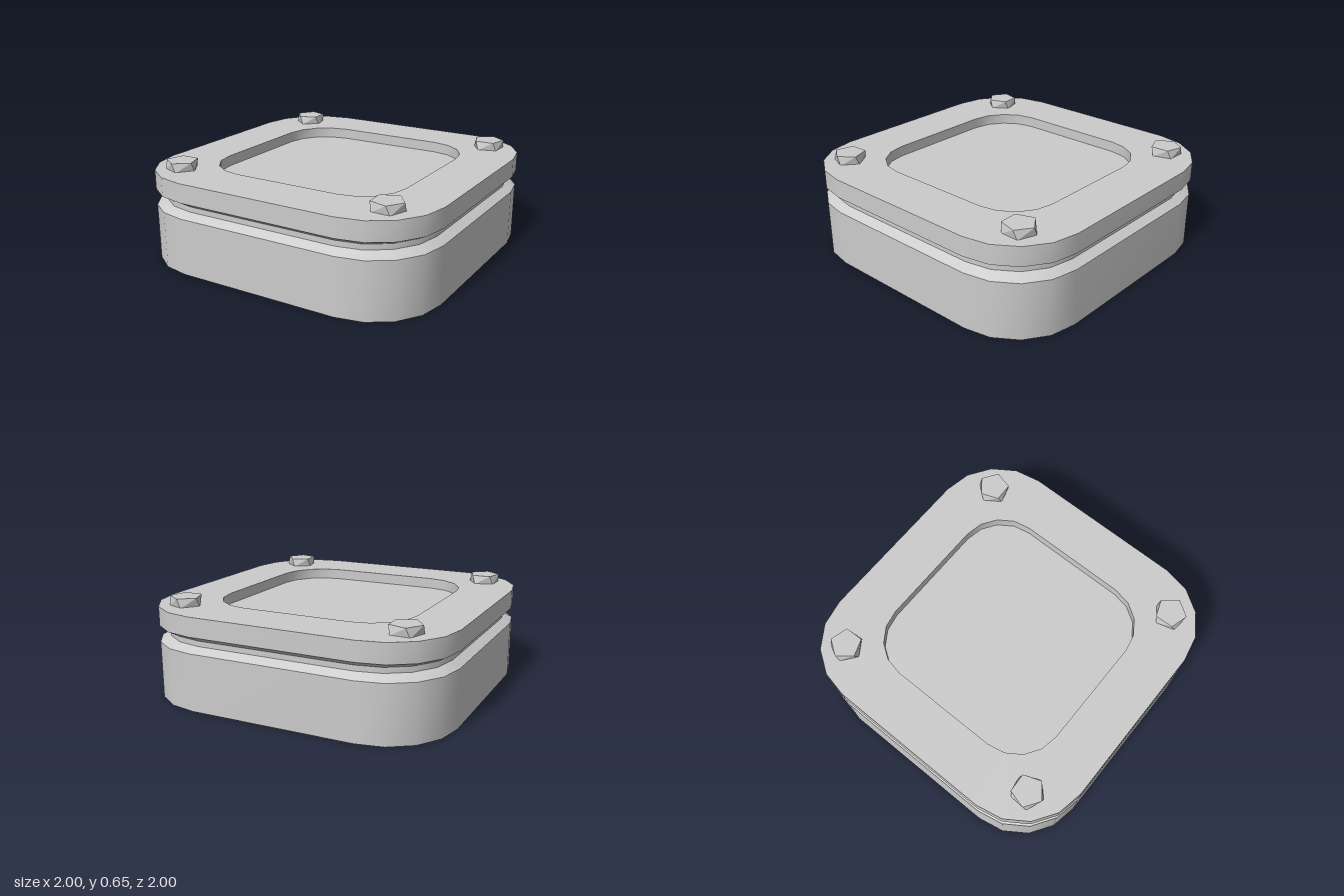
import * as THREE from 'three';

const material = new THREE.MeshStandardMaterial({ color: 0xcccccc, side: THREE.DoubleSide });
const flatMaterial = new THREE.MeshStandardMaterial({ color: 0xcccccc, side: THREE.DoubleSide, flatShading: true });

// Rounded square outline, half-width 1, running from +x towards +z
function roundedSquare(radius, steps) {
  const points = [];
  for (let corner = 0; corner < 4; corner++) {
    const mid = Math.PI / 4 + corner * Math.PI / 2;
    const cx = Math.sign(Math.cos(mid)) * (1 - radius);
    const cz = Math.sign(Math.sin(mid)) * (1 - radius);
    for (let i = 0; i <= steps; i++) {
      const a = (corner + i / steps) * Math.PI / 2;
      points.push([cx + radius * Math.cos(a), cz + radius * Math.sin(a)]);
    }
  }
  return points;
}

function polygon(sides, radius, degrees) {
  return Array.from({ length: sides }, (_, i) => {
    const a = THREE.MathUtils.degToRad(degrees) + i * 2 * Math.PI / sides;
    return [radius * Math.cos(a), radius * Math.sin(a)];
  });
}

// Closed band between two outlines of equal point count
function band(name, lower, y0, upper, y1, mat = material) {
  const n = lower.length;
  const positions = [];
  const index = [];
  for (const [x, z] of lower) positions.push(x, y0, z);
  for (const [x, z] of upper) positions.push(x, y1, z);
  for (let i = 0; i < n; i++) {
    const j = (i + 1) % n;
    index.push(i, n + i, j, j, n + i, n + j);
  }
  const geometry = new THREE.BufferGeometry();
  geometry.setAttribute('position', new THREE.Float32BufferAttribute(positions, 3));
  geometry.setIndex(index);
  geometry.computeVertexNormals();
  const mesh = new THREE.Mesh(geometry, mat);
  mesh.name = name;
  return mesh;
}

// Flat face pointing up
function cap(name, outline, y) {
  const shape = new THREE.Shape(outline.map(([x, z]) => new THREE.Vector2(x, -z)));
  const mesh = new THREE.Mesh(new THREE.ShapeGeometry(shape).rotateX(-Math.PI / 2), material);
  mesh.position.y = y;
  mesh.name = name;
  return mesh;
}

export function createModel() {
  const model = new THREE.Group();
  model.name = 'boltedCover';
  const outline = roundedSquare(0.45, 4);
  const scaled = s => outline.map(([x, z]) => [x * s, z * s]);

  // Hollow shell, open underneath: wall, groove, lid and sunken panel
  const profile = [
    ['baseWall', 1, 0], ['grooveLowerSlope', 1, 0.37], ['grooveFloor', 0.945, 0.405],
    ['grooveUpperSlope', 0.945, 0.44], ['lidEdge', 1, 0.475], ['lidTop', 1, 0.6],
    ['recessWall', 0.667, 0.6], ['recessFloor', 0.667, 0.53],
  ];
  for (let i = 0; i < profile.length - 1; i++) {
    const [name, s0, y0] = profile[i];
    const [, s1, y1] = profile[i + 1];
    model.add(band(name, scaled(s0), y0, scaled(s1), y1));
  }
  model.add(cap('recessFloor', scaled(0.667), 0.53));

  // Five-sided, slightly twisted bolt heads, turned a quarter at each corner
  for (let k = 0; k < 4; k++) {
    const bolt = new THREE.Group();
    bolt.name = 'bolt' + (k + 1);
    const foot = polygon(5, 0.105, -106);
    const head = polygon(5, 0.103, -92);
    bolt.add(band('boltSide', foot, 0.595, head, 0.655, flatMaterial), cap('boltTop', head, 0.655));
    bolt.rotation.y = k * Math.PI / 2;
    bolt.position.set([1, -1, -1, 1][k] * 0.745, 0, [-1, -1, 1, 1][k] * 0.745);
    model.add(bolt);
  }
  return model;
}
